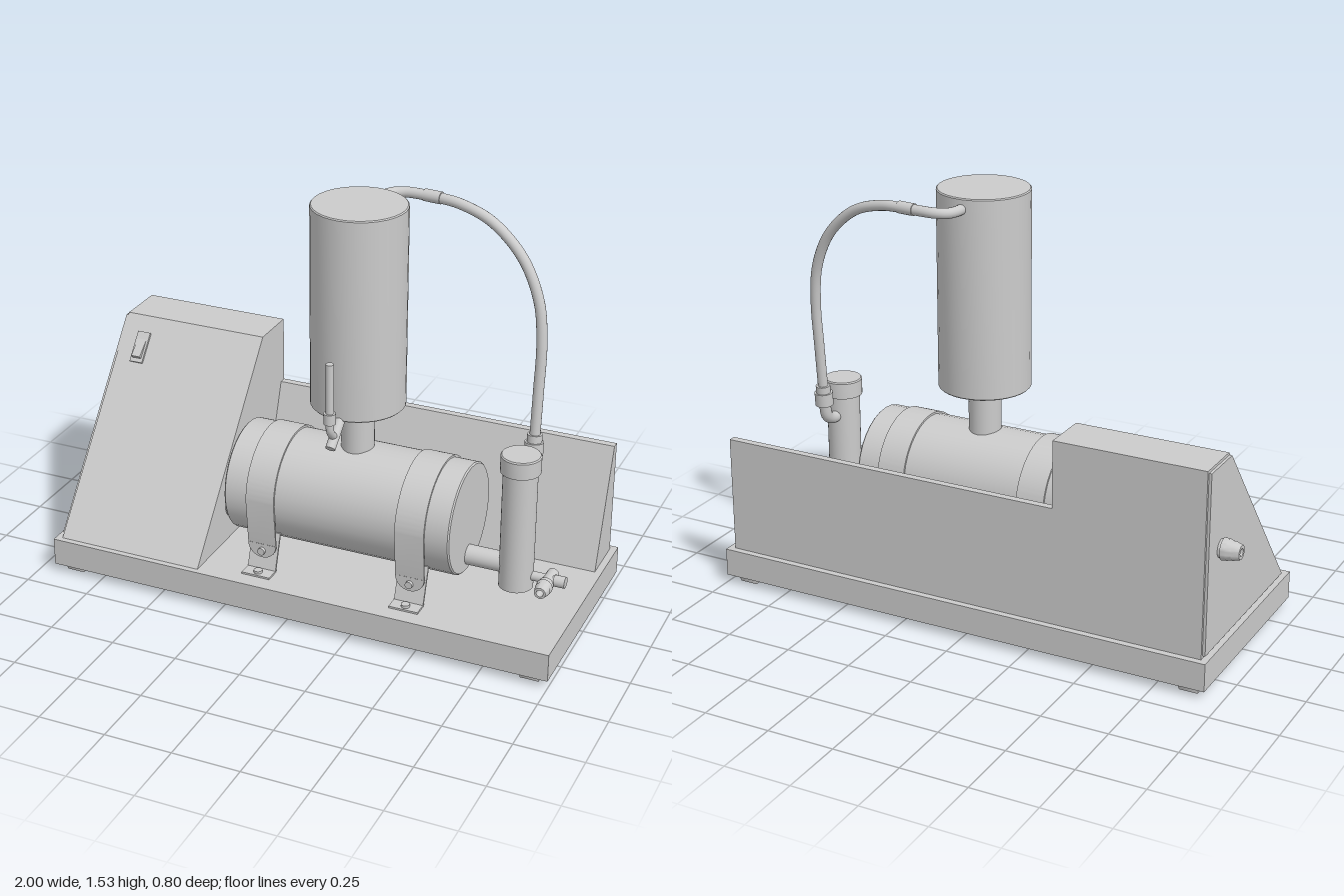
import * as THREE from 'three';
import { toCreasedNormals } from 'three/addons/utils/BufferGeometryUtils.js';

const grey = new THREE.MeshStandardMaterial({ color: 0xcccccc, side: THREE.DoubleSide });
const V = (x, y, z) => new THREE.Vector3(x, y, z);
const UP = V(0, 1, 0);

export function createModel() {
  const model = new THREE.Group();

  const add = (name, geometry, parent = model) => {
    const mesh = new THREE.Mesh(geometry, grey);
    mesh.name = name;
    parent.add(mesh);
    return mesh;
  };
  const box = (name, x0, x1, y0, y1, z0, z1, parent) => {
    const m = add(name, new THREE.BoxGeometry(x1 - x0, y1 - y0, z1 - z0), parent);
    m.position.set((x0 + x1) / 2, (y0 + y1) / 2, (z0 + z1) / 2);
    return m;
  };
  // cylinder between two points
  const rod = (name, a, b, r, parent, sides = 32) => {
    const d = b.clone().sub(a);
    const m = add(name, new THREE.CylinderGeometry(r, r, d.length(), sides), parent);
    m.position.copy(a).addScaledVector(d, 0.5);
    m.quaternion.setFromUnitVectors(UP, d.normalize());
    return m;
  };
  const tube = (name, pts, r, parent) => add(name,
    new THREE.TubeGeometry(new THREE.CatmullRomCurve3(pts.map(p => V(...p))), 64, r, 16), parent);
  // turned part: profile of [radius, height] pointing along a direction
  const turned = (name, profile, at, dir, parent) => {
    const pts = profile.map(p => new THREE.Vector2(...p));
    const m = add(name, toCreasedNormals(new THREE.LatheGeometry(pts, 32), 0.5), parent);
    m.position.copy(at);
    m.quaternion.setFromUnitVectors(UP, dir);
    return m;
  };
  // side profile given as [z, y], extruded along x
  const sideShape = pts => new THREE.Shape(pts.map(([z, y]) => new THREE.Vector2(-z, y)));
  const extrudeX = (name, shape, x0, x1, parent) => {
    const g = new THREE.ExtrudeGeometry(shape, { depth: x1 - x0, bevelEnabled: false, curveSegments: 48 });
    const m = add(name, toCreasedNormals(g.rotateY(Math.PI / 2), 0.5), parent);
    m.position.x = x0;
    return m;
  };

  // base with four feet
  box('base', -0.94, 1, 0.03, 0.135, -0.4, 0.4);
  for (const x of [-0.87, 0.925]) for (const z of [-0.335, 0.335]) {
    const foot = add('foot', new THREE.CylinderGeometry(0.058, 0.048, 0.03, 4).rotateY(Math.PI / 4));
    foot.position.set(x, 0.015, z);
  }

  // sloped cabinet, its end plate and the rear panel
  extrudeX('cabinet', sideShape([[0.378, 0.135], [-0.375, 0.135], [-0.375, 0.825], [-0.193, 0.825]]), -0.915, -0.35);
  extrudeX('cabinetEndPlate', sideShape([[0.355, 0.145], [-0.365, 0.145], [-0.365, 0.815], [-0.19, 0.815]]), -0.925, -0.914);
  extrudeX('rearPanel', sideShape([[-0.193, 0.135], [-0.375, 0.135], [-0.375, 0.575], [-0.347, 0.575]]), -0.35, 0.975);

  // rocker switch on the slope
  const rocker = new THREE.Group();
  rocker.name = 'switch';
  rocker.position.set(-0.825, 0.728, -0.112);
  rocker.rotation.x = -0.686;
  model.add(rocker);
  box('switchFrame', -0.026, 0.026, -0.06, 0.06, -0.02, 0.008, rocker);
  box('switchRocker', -0.018, 0.018, -0.045, 0.045, -0.012, 0.014, rocker).rotation.x = -0.2;

  // barbed connector on the cabinet end
  turned('sideConnector', [[0, 0], [0.033, 0], [0.033, 0.008], [0.04, 0.01], [0.036, 0.028], [0.038, 0.028],
    [0.032, 0.048], [0.034, 0.048], [0.026, 0.075], [0.014, 0.075], [0.014, 0.05], [0, 0.05]],
  V(-0.925, 0.505, -0.26), V(-1, 0, 0));

  // horizontal tank and its end pipes
  const cy = 0.41, cz = 0.083;
  turned('tank', [[0, 0], [0.2, 0], [0.205, 0.005], [0.205, 0.86], [0.2, 0.865], [0, 0.865]],
    V(-0.28, cy, cz), V(1, 0, 0));
  rod('inletPipe', V(-0.36, 0.275, cz), V(-0.27, 0.275, cz), 0.06);
  rod('outletPipe', V(0.57, 0.265, cz), V(0.72, 0.265, cz), 0.037);

  // straps with tabs, legs and bolts
  for (const x of [-0.135, 0.44]) {
    const strap = new THREE.Group();
    strap.name = 'tankStrap';
    strap.position.set(x, cy, cz);
    model.add(strap);
    const band = new THREE.Shape();
    band.moveTo(0.196, -0.17);
    band.lineTo(0.212, 0);
    band.absarc(0, 0, 0.212, 0, Math.PI);
    band.lineTo(-0.196, -0.17);
    band.lineTo(-0.19, -0.17);
    band.lineTo(-0.204, 0);
    band.absarc(0, 0, 0.204, Math.PI, 0, true);
    band.lineTo(0.19, -0.17);
    extrudeX('strapBand', band, -0.055, 0.055, strap);
    for (const s of [-1, 1]) {
      const tab = add('strapTab', new THREE.CylinderGeometry(0.055, 0.055, 0.007, 24, 1, false, -Math.PI / 2, Math.PI).rotateX(Math.PI / 2), strap);
      tab.position.set(0, -0.17, s * 0.193);
      const leg = [[0.15, -0.135], [0.196, -0.275], [0.255, -0.275], [0.255, -0.268], [0.203, -0.268], [0.158, -0.135]];
      extrudeX('strapLeg', sideShape(leg.map(([z, y]) => [z * s, y])), -0.055, 0.055, strap);
      rod('strapBolt', V(0, -0.197, s * 0.16), V(0, -0.197, s * 0.208), 0.014, strap, 16);
      rod('footScrew', V(0, -0.27, s * 0.232), V(0, -0.258, s * 0.232), 0.016, strap, 16);
    }
  }

  // vertical vessel on its neck
  rod('vesselNeck', V(0.155, 0.58, cz), V(0.155, 0.79, cz), 0.06);
  turned('vessel', [[0, 0], [0.166, 0], [0.17, 0.004], [0.17, 0.741], [0.166, 0.745], [0, 0.745]],
    V(0.155, 0.783, cz), UP);

  // drain spout and upright gauge tube
  rod('drainSpout', V(0.155, 0.81, 0.21), V(0.155, 0.71, 0.325), 0.018);
  tube('gaugeElbow', [[0.155, 0.735, 0.285], [0.155, 0.765, 0.317], [0.155, 0.785, 0.328], [0.155, 0.82, 0.33]], 0.014);
  rod('gaugeCollar', V(0.155, 0.81, 0.33), V(0.155, 0.85, 0.33), 0.021);
  rod('gaugeTube', V(0.155, 0.84, 0.33), V(0.155, 1.035, 0.33), 0.014);

  // small filter cylinder with cap
  rod('filterBody', V(0.767, 0.185, cz), V(0.767, 0.65, cz), 0.062);
  turned('filterCap', [[0, 0], [0.072, 0], [0.072, 0.06], [0.068, 0.065], [0, 0.065]], V(0.767, 0.64, cz), UP);

  // drain valve
  rod('valvePipe', V(0.81, 0.235, cz), V(0.92, 0.235, cz), 0.017);
  rod('valveEnd', V(0.91, 0.235, cz), V(0.95, 0.235, cz), 0.021);
  rod('valveBody', V(0.89, 0.235, 0.04), V(0.89, 0.235, 0.13), 0.022);
  turned('valveNozzle', [[0, 0], [0.027, 0], [0.027, 0.02], [0.03, 0.02], [0.025, 0.04], [0.028, 0.04],
    [0.021, 0.07], [0.013, 0.07], [0.013, 0.03], [0, 0.03]], V(0.89, 0.235, 0.118), V(0, 0, 1));

  // hose with elbows and collars
  tube('filterElbow', [[0.767, 0.565, 0.04], [0.767, 0.568, 0], [0.767, 0.59, -0.035], [0.767, 0.65, -0.05]], 0.022);
  rod('lowerCollar', V(0.767, 0.64, -0.05), V(0.767, 0.69, -0.054), 0.034);
  rod('lowerSleeve', V(0.767, 0.685, -0.054), V(0.767, 0.718, -0.057), 0.027);
  tube('hose', [[0.767, 0.7, -0.055], [0.768, 0.88, -0.07], [0.767, 1.05, -0.085], [0.745, 1.2, -0.1],
    [0.675, 1.34, -0.118], [0.555, 1.445, -0.138], [0.43, 1.485, -0.158], [0.33, 1.492, -0.172]], 0.019);
  rod('upperCollar', V(0.29, 1.492, -0.175), V(0.355, 1.492, -0.168), 0.022);
  tube('vesselElbow', [[0.155, 1.488, -0.06], [0.157, 1.488, -0.115], [0.175, 1.489, -0.155],
    [0.215, 1.491, -0.175], [0.31, 1.492, -0.174]], 0.019);

  return model;
}
